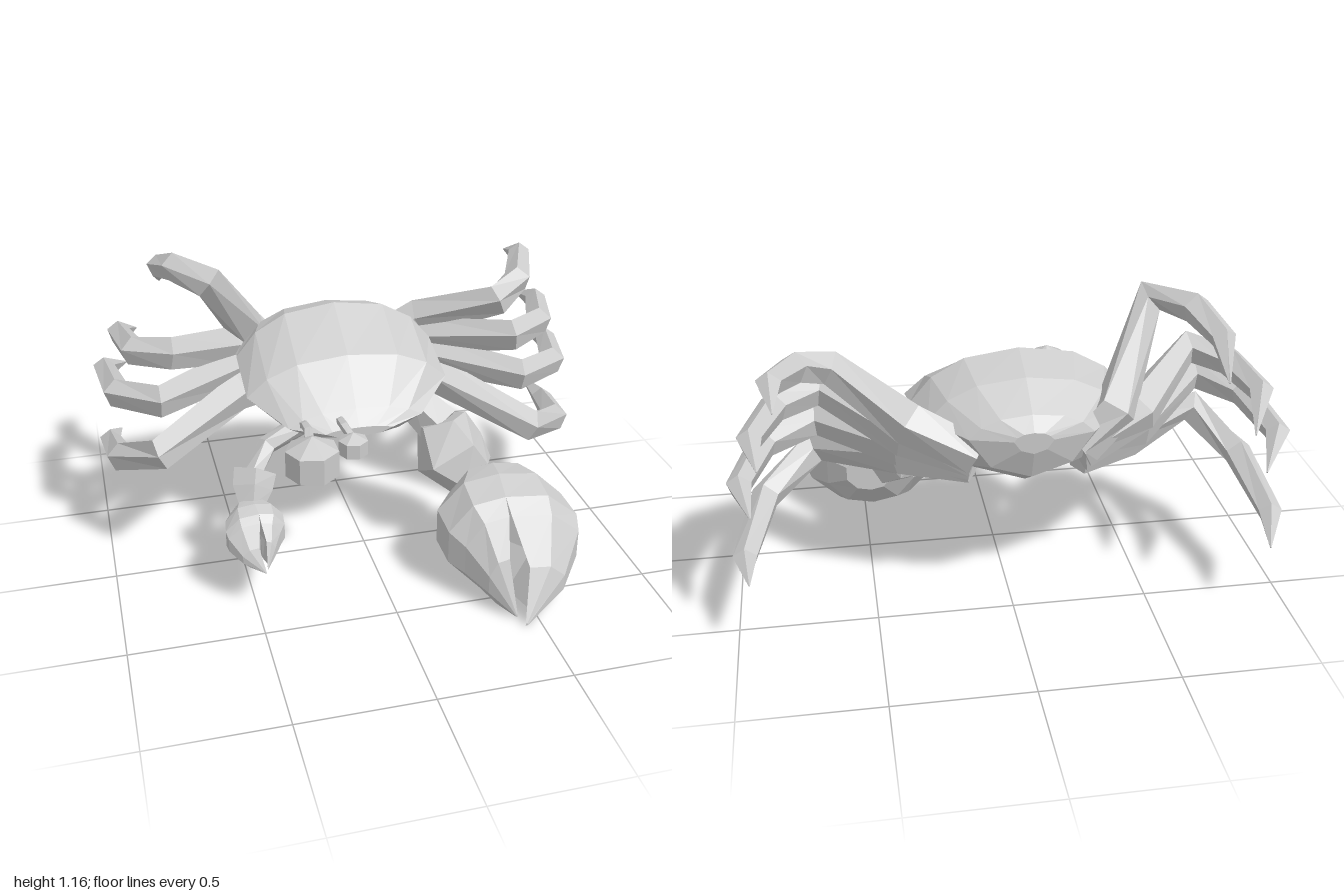
import * as THREE from 'three';

const grey = new THREE.MeshStandardMaterial({ color: 0xcccccc, flatShading: true });
const V = (p) => new THREE.Vector3(...p);

// Skin a row of equal-length rings and close both ends.
// Rings run counter-clockwise around the direction of travel.
function loft(rings) {
  const out = [];
  const tri = (...pts) => pts.forEach((p) => out.push(p.x, p.y, p.z));
  const n = rings[0].length;
  const middle = (r) => r.reduce((s, p) => s.add(p), new THREE.Vector3()).divideScalar(n);
  const first = rings[0], last = rings[rings.length - 1];
  const start = middle(first), end = middle(last);
  for (let i = 0; i < n; i++) {
    const j = (i + 1) % n;
    for (let k = 0; k + 1 < rings.length; k++) {
      const a = rings[k], b = rings[k + 1];
      tri(a[i], a[j], b[j]);
      tri(a[i], b[j], b[i]);
    }
    tri(start, first[j], first[i]);
    tri(end, last[i], last[j]);
  }
  const geo = new THREE.BufferGeometry();
  geo.setAttribute('position', new THREE.Float32BufferAttribute(out, 3));
  geo.computeVertexNormals();
  return geo;
}

// Faceted limb along a bent path with one radius per point.
function limb(path, radii, sides, phase = 0) {
  const pts = path.map(V);
  return loft(pts.map((p, k) => {
    const t = new THREE.Vector3();
    if (k > 0) t.add(p.clone().sub(pts[k - 1]).normalize());
    if (k + 1 < pts.length) t.add(pts[k + 1].clone().sub(p).normalize());
    t.normalize();
    const u = new THREE.Vector3(0, 1, 0).cross(t).normalize();
    const v = t.clone().cross(u);
    return Array.from({ length: sides }, (_, i) => {
      const a = phase + (i / sides) * Math.PI * 2;
      return p.clone().addScaledVector(u, radii[k] * Math.cos(a)).addScaledVector(v, radii[k] * Math.sin(a));
    });
  }));
}

export function createModel() {
  const model = new THREE.Group();
  const add = (name, geo, parent = model) => {
    const mesh = new THREE.Mesh(geo, grey);
    mesh.name = name;
    parent.add(mesh);
    return mesh;
  };

  // Shell: cross-sections from back to front [z, half width, bottom, rim, top]
  const outline = [[1, 0], [0.8, 0.5], [0.5, 0.85], [0, 1], [-0.5, 0.85], [-0.8, 0.5],
    [-1, 0], [-0.65, -0.7], [0, -1], [0.65, -0.7]];
  const shell = [
    [-0.6, 0.07, 0.69, 0.74, 0.77],
    [-0.56, 0.22, 0.58, 0.74, 0.82],
    [-0.43, 0.345, 0.5, 0.76, 0.9],
    [-0.28, 0.395, 0.47, 0.76, 0.95],
    [-0.05, 0.395, 0.49, 0.69, 0.825],
    [0.08, 0.26, 0.54, 0.605, 0.66],
    [0.13, 0.13, 0.565, 0.59, 0.605],
  ];
  add('shell', loft(shell.map(([z, w, low, rim, top]) => outline.map(([u, v]) =>
    new THREE.Vector3(-0.05 + u * w, rim + v * (v > 0 ? top - rim : rim - low), z)))));

  // Walking legs, uppermost first: thigh, knee, shin, foot, tip
  const legs = {
    left: [
      [[0.36, 0.77, -0.46], [0.62, 0.905, -0.25], [0.74, 0.95, -0.34], [0.82, 0.985, -0.54], [0.81, 0.95, -0.69]],
      [[0.37, 0.705, -0.42], [0.66, 0.785, -0.16], [0.82, 0.78, -0.28], [0.9, 0.775, -0.52], [0.875, 0.745, -0.69]],
      [[0.38, 0.645, -0.37], [0.68, 0.635, -0.1], [0.87, 0.615, -0.23], [0.95, 0.595, -0.5], [0.91, 0.575, -0.69]],
      [[0.38, 0.58, -0.31], [0.69, 0.46, 0.02], [0.88, 0.37, -0.18], [0.955, 0.3, -0.5], [0.935, 0.315, -0.69]],
    ],
    right: [
      [[-0.36, 0.78, -0.48], [-0.54, 1.1, -0.23], [-0.65, 1.11, -0.4], [-0.7, 1.06, -0.56], [-0.69, 0.95, -0.69]],
      [[-0.46, 0.745, -0.43], [-0.71, 0.86, -0.16], [-0.84, 0.84, -0.26], [-0.88, 0.82, -0.5], [-0.8, 0.75, -0.69]],
      [[-0.46, 0.665, -0.39], [-0.77, 0.71, -0.07], [-0.92, 0.69, -0.22], [-0.95, 0.66, -0.52], [-0.855, 0.6, -0.69]],
      [[-0.45, 0.59, -0.32], [-0.79, 0.53, 0.01], [-0.93, 0.42, -0.2], [-0.955, 0.33, -0.52], [-0.9, 0.29, -0.69]],
    ],
  };
  for (const side in legs) {
    const hipX = side === 'left' ? 0.14 : -0.24;
    legs[side].forEach((path, i) => add(`${side}Leg${i + 1}`, limb(
      [[hipX, 0.65 - i * 0.025, -0.5 + i * 0.025], ...path],
      [0.07, 0.08, 0.064, 0.056, 0.045, 0.003], 5, Math.PI / 2)));
  }

  // Claw: two D-shaped halves from wrist to tip, parting into hollowed fingers
  // Sections [z, inner side x, outer x, bottom, top, hollow]
  const half = [[0, -1], [0.55, -0.87], [0.95, -0.35], [0.95, 0.35], [0.55, 0.9], [0, 1]];
  const clawHalves = {
    InnerFinger: [
      [0.1, 0.48, 0.39, 0.2, 0.36, 0], [0.19, 0.47, 0.29, 0.09, 0.41, 0], [0.3, 0.455, 0.2, 0.04, 0.425, 0],
      [0.42, 0.44, 0.21, 0.02, 0.395, 0], [0.48, 0.435, 0.26, 0.015, 0.345, 0.15], [0.57, 0.41, 0.33, 0.015, 0.22, 0.2],
      [0.65, 0.422, 0.415, 0.012, 0.025, 0],
    ],
    OuterFinger: [
      [0.1, 0.48, 0.58, 0.2, 0.36, 0], [0.19, 0.47, 0.66, 0.09, 0.41, 0], [0.3, 0.455, 0.73, 0.04, 0.425, 0],
      [0.42, 0.44, 0.75, 0.02, 0.395, 0], [0.48, 0.445, 0.735, 0.015, 0.345, 0.3], [0.6, 0.48, 0.63, 0.01, 0.19, 0.3],
      [0.695, 0.438, 0.45, 0.003, 0.012, 0],
    ],
  };
  const addClaw = (name, place, mirrored) => {
    const group = new THREE.Group();
    group.name = name;
    model.add(group);
    for (const part in clawHalves) {
      const flip = (part === 'InnerFinger') !== mirrored;
      const rings = clawHalves[part].map(([z, flat, outer, y0, y1, hollow]) => {
        const ring = [...half, [hollow, 0]].map(([u, v]) =>
          place(flat + u * (outer - flat), (y0 + y1) / 2 + v * (y1 - y0) / 2, z));
        return flip ? ring.reverse() : ring;
      });
      add(name + part, loft(rings), group);
    }
  };
  addClaw('leftClaw', (x, y, z) => new THREE.Vector3(x, y, z), false);
  addClaw('rightClaw', (x, y, z) =>
    new THREE.Vector3(-0.483 - 0.43 * (x - 0.478), 0.18 + 0.47 * y, 0.13 + 0.44 * (z - 0.12)), true);

  // Arms and flared wrists
  add('leftArm', limb([[0.17, 0.6, -0.16], [0.24, 0.57, -0.06], [0.31, 0.5, 0.01]], [0.07, 0.08, 0.09], 5));
  add('leftWrist', limb([[0.31, 0.53, 0.01], [0.34, 0.4, 0.06], [0.42, 0.32, 0.12]], [0.105, 0.155, 0.11], 5, 0.6));
  add('rightArm', limb([[-0.22, 0.57, -0.04], [-0.38, 0.5, -0.01], [-0.45, 0.43, 0.07]], [0.045, 0.04, 0.035], 5));
  add('rightWrist', limb([[-0.445, 0.43, 0.06], [-0.465, 0.38, 0.1], [-0.48, 0.33, 0.15]], [0.085, 0.08, 0.05], 5));

  // Eyes of unequal size on short curved stalks
  for (const [side, x, z, r, sx] of [['right', -0.272, 0.315, 0.1, -0.255], ['left', -0.103, 0.245, 0.056, -0.118]]) {
    const eye = add(`${side}Eye`, new THREE.SphereGeometry(r, 7, 3));
    eye.position.set(x, 0.594, z);
    eye.scale.set(1.15, 1, 1.15);
    add(`${side}EyeStalk`, limb([[sx, 0.6, 0.04], [sx, 0.635, 0.12], [sx, 0.64, 0.17], [x, 0.62, z - r * 0.5]],
      [0.018, 0.018, 0.018, 0.018], 5));
  }

  return model;
}
